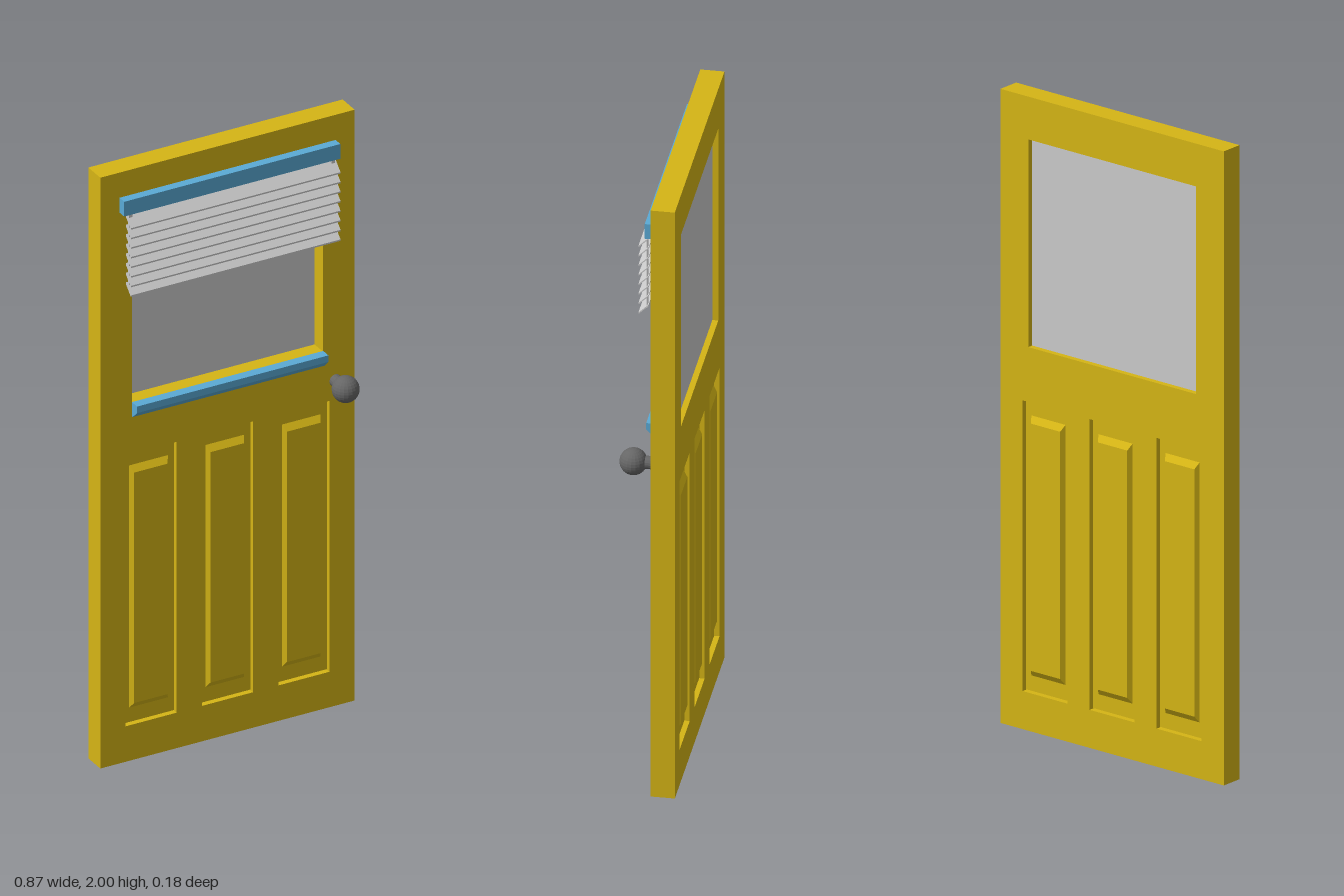
import * as THREE from 'three';

const mat = (color) => new THREE.MeshStandardMaterial({ color, flatShading: true });
const YELLOW = mat(0xd5b515), BLUE = mat(0x5aaad5), GREY = mat(0xcccccc), DARK = mat(0x666666);
GREY.side = THREE.DoubleSide;

const FRONT = -0.017, BACK = -0.09, MID = (FRONT + BACK) / 2;

function add(parent, name, geometry, material, x = 0, y = 0, z = 0) {
  const mesh = new THREE.Mesh(geometry, material);
  mesh.name = name;
  mesh.position.set(x, y, z);
  parent.add(mesh);
  return mesh;
}

function rectangle(path, x0, x1, y0, y1) {
  path.moveTo(x0, y0);
  path.lineTo(x1, y0);
  path.lineTo(x1, y1);
  path.lineTo(x0, y1);
  path.closePath();
  return path;
}

// Box whose +z face is drawn in on every side to make sloping edges
function bevelledPanel(w, h, d, insetX, insetY) {
  const g = new THREE.BoxGeometry(w, h, d);
  const p = g.attributes.position;
  for (let i = 0; i < p.count; i++) {
    if (p.getZ(i) > 0) {
      p.setX(i, p.getX(i) - Math.sign(p.getX(i)) * insetX);
      p.setY(i, p.getY(i) - Math.sign(p.getY(i)) * insetY);
    }
  }
  g.computeVertexNormals();
  return g;
}

// Horizontal bar with a side profile of [z, y] points, running along x
function bar(points, width) {
  const shape = new THREE.Shape(points.map(([z, y]) => new THREE.Vector2(-z, y)));
  const g = new THREE.ExtrudeGeometry(shape, { depth: width, bevelEnabled: false });
  g.translate(0, 0, -width / 2);
  g.rotateY(Math.PI / 2);
  return g;
}

export function createModel() {
  const model = new THREE.Group();
  model.name = 'door';

  // Slab with openings for the window and the three lower panels
  const panelXs = [-0.26, 0, 0.26];
  const slab = rectangle(new THREE.Shape(), -0.433, 0.433, 0, 2);
  slab.holes.push(rectangle(new THREE.Path(), -0.325, 0.325, 1.21, 1.865));
  for (const x of panelXs) slab.holes.push(rectangle(new THREE.Path(), x - 0.087, x + 0.087, 0.12, 1.037));
  add(model, 'doorSlab', new THREE.ExtrudeGeometry(slab, { depth: FRONT - BACK, bevelEnabled: false }), YELLOW, 0, 0, BACK);

  // Recessed panels with a raised, bevelled field on both faces
  const recess = 0.016, raise = 0.014;
  const core = FRONT - BACK - 2 * recess;
  for (const x of panelXs) {
    const panel = new THREE.Group();
    panel.name = 'lowerPanel';
    panel.position.set(x, 0.58, MID);
    add(panel, 'panelCore', new THREE.BoxGeometry(0.174, 0.917, core), YELLOW);
    for (const side of [1, -1]) {
      const field = add(panel, 'raisedField', bevelledPanel(0.132, 0.82, raise, 0.009, 0.02), YELLOW,
        0, 0, side * (core + raise) / 2);
      if (side < 0) field.rotation.y = Math.PI;
    }
    model.add(panel);
  }

  // Window pane and sill
  add(model, 'windowPane', new THREE.BoxGeometry(0.65, 0.655, 0.004), GREY, 0, 1.5375, -0.07);
  add(model, 'windowSill', bar([[FRONT, 1.212], [0.015, 1.212], [0.015, 1.19], [-0.01, 1.165], [FRONT, 1.165]], 0.652), BLUE);

  // Blind: head rail, tilted slats and lift cords
  const blind = new THREE.Group();
  blind.name = 'blind';
  add(blind, 'headRail', new THREE.BoxGeometry(0.736, 0.05, 0.029), BLUE, 0, 1.89, -0.0025);
  const slat = bar([[0.033, 1.6], [0.033, 1.605], [0.002, 1.635], [0.002, 1.63]], 0.714);
  for (let i = 0; i < 8; i++) add(blind, 'slat', slat, GREY, 0, i * 0.0325, 0);
  for (const x of [-0.345, 0.345]) {
    add(blind, 'liftCord', new THREE.BoxGeometry(0.012, 0.25, 0.004), GREY, x, 1.745, 0.008);
  }
  model.add(blind);

  // Knob on a short stem
  const knob = new THREE.Group();
  knob.name = 'knob';
  knob.position.set(0.367, 1.102, 0);
  add(knob, 'knobStem', new THREE.CylinderGeometry(0.02, 0.02, 0.04, 16), DARK, 0, 0, 0.003).rotation.x = Math.PI / 2;
  add(knob, 'knobBall', new THREE.SphereGeometry(0.042, 20, 14), DARK, 0, 0, 0.046);
  model.add(knob);

  return model;
}
